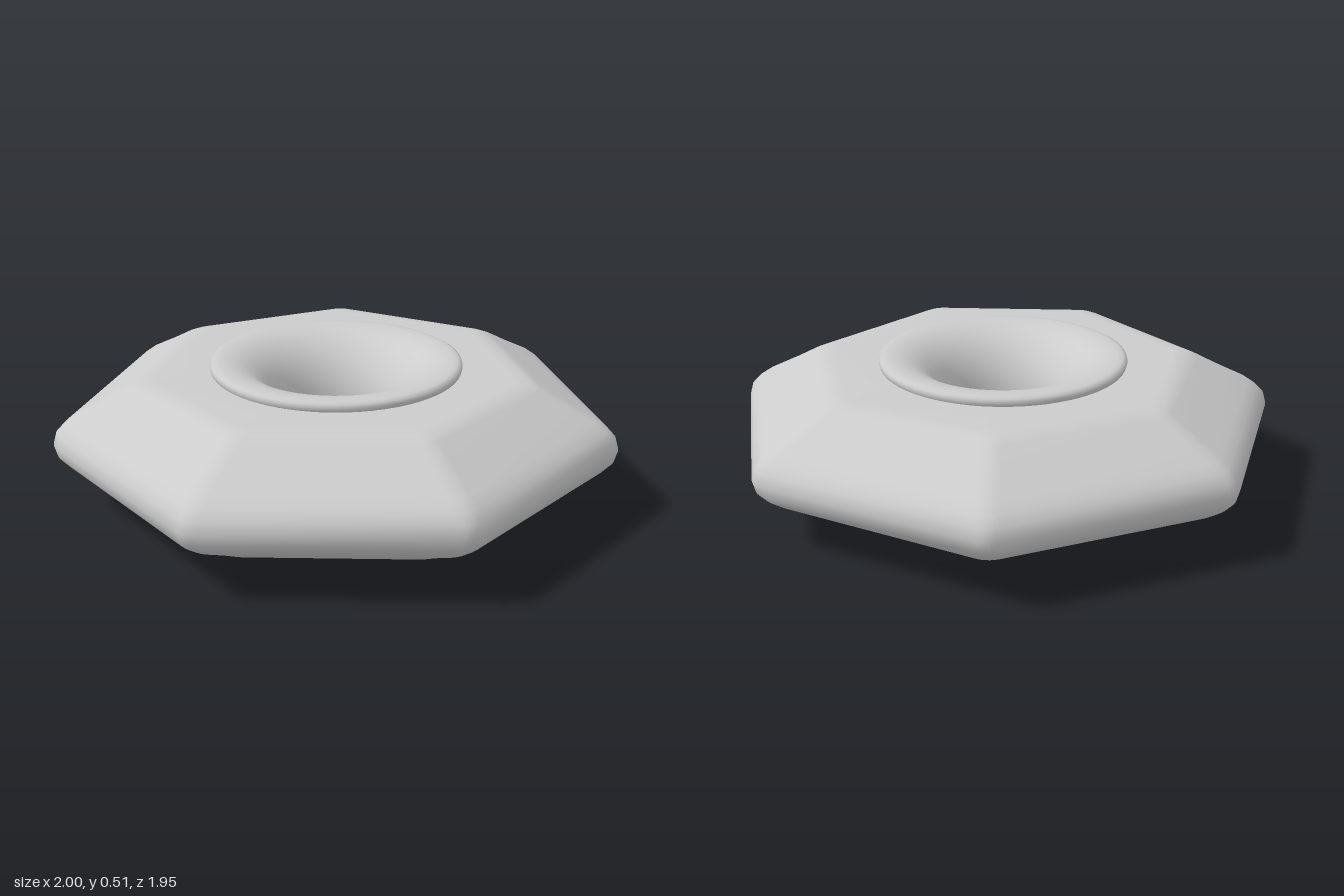
import * as THREE from 'three';

const SIDES = 7, MID = 0.256, CENTRE_Z = 0.042;
const material = new THREE.MeshStandardMaterial({ color: 0xcccccc });

// Unit heptagon outline with softly rounded corners, one corner at the back
function roundedOutline() {
  const corner = k => {
    const a = Math.PI + (k * 2 * Math.PI) / SIDES;
    return new THREE.Vector2(Math.sin(a), Math.cos(a));
  };
  const points = [];
  for (let k = 0; k < SIDES; k++) {
    const c = corner(k);
    const from = c.clone().lerp(corner(k - 1), 0.055);
    const to = c.clone().lerp(corner(k + 1), 0.055);
    points.push(...new THREE.QuadraticBezierCurve(from, c, to).getPoints(5));
  }
  return points;
}

// Loft the outline through [radius, height] steps, bottom to top
function loft(outline, profile) {
  const n = outline.length, position = [], index = [];
  for (const [r, y] of profile) for (const p of outline) position.push(p.x * r, y, p.y * r);
  for (let j = 0; j < profile.length - 1; j++) {
    for (let i = 0; i < n; i++) {
      const a = j * n + i, b = j * n + ((i + 1) % n);
      index.push(a, b, b + n, a, b + n, a + n);
    }
  }
  const geometry = new THREE.BufferGeometry();
  geometry.setAttribute('position', new THREE.Float32BufferAttribute(position, 3));
  geometry.setIndex(index);
  geometry.computeVertexNormals();
  return geometry;
}

export function createModel() {
  const group = new THREE.Group();

  // Seven-sided body, mirrored about its middle: [corner radius, height above the middle]
  const upper = [[1.02, 0.042], [0.99, 0.073], [0.95, 0.1], [0.84, 0.155],
    [0.75, 0.203], [0.71, 0.219], [0.66, 0.222], [0.42, 0.222]];
  const profile = [
    ...upper.map(([r, h]) => [r, MID - h]).reverse(),
    [1.032, MID],
    ...upper.map(([r, h]) => [r, MID + h]),
  ];
  const body = new THREE.Mesh(loft(roundedOutline(), profile), material);
  body.name = 'heptagonBody';

  // Central ring: thin rounded lips joined by a flared through-hole
  const lip = [[0.443, 0.205], [0.453, 0.225], [0.456, 0.237], [0.452, 0.248], [0.44, 0.255]];
  const ringPoints = [
    ...lip.map(([r, h]) => new THREE.Vector2(r, MID - h)).reverse(),
    ...lip.map(([r, h]) => new THREE.Vector2(r, MID + h)),
  ];
  for (let i = 0; i <= 32; i++) {
    const t = (i / 32) * Math.PI;
    ringPoints.push(new THREE.Vector2(0.42 - 0.22 * Math.sin(t), MID + 0.256 * Math.cos(t)));
  }
  ringPoints.push(ringPoints[0].clone());
  const ring = new THREE.Mesh(new THREE.LatheGeometry(ringPoints, 64), material);
  ring.name = 'flaredRing';

  group.add(body, ring);
  group.position.z = CENTRE_Z;
  const model = new THREE.Group();
  model.name = 'heptagonDisc';
  model.add(group);
  return model;
}
